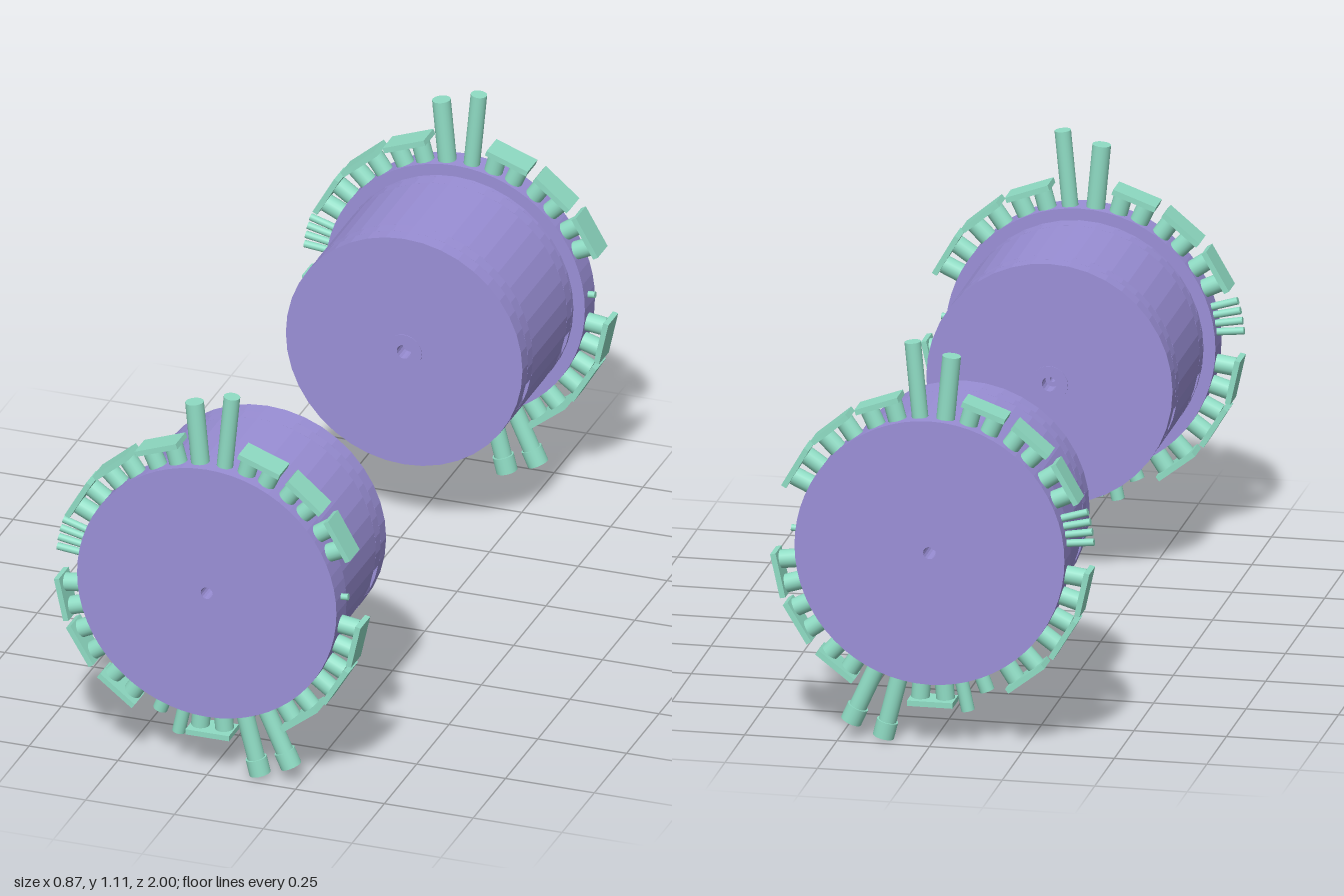
import * as THREE from 'three';

const CENTER_Y = 0.537;
const FLANGE_R = 0.365, DRUM_R = 0.333;
const RING_Z = 0.955; // plane of the fittings around the flange
const purple = new THREE.MeshStandardMaterial({ color: 0x9a8fd6, flatShading: true });
const green = new THREE.MeshStandardMaterial({ color: 0x8fdcc4 });
const rad = THREE.MathUtils.degToRad;

// Points along an arc, angles in degrees
function arc(r, from, to, n) {
  return Array.from({ length: n + 1 }, (_, i) => {
    const a = rad(from + ((to - from) * i) / n);
    return new THREE.Vector2(r * Math.cos(a), r * Math.sin(a));
  });
}

// Slab with a given outline and a centre bore, from z0 to z1
function slab(name, outline, bore, z0, z1) {
  const shape = new THREE.Shape(outline);
  shape.holes.push(new THREE.Path(arc(bore, 360, 0, 16).slice(0, -1)));
  const geo = new THREE.ExtrudeGeometry(shape, { depth: z1 - z0, bevelEnabled: false });
  geo.translate(0, 0, z0);
  const mesh = new THREE.Mesh(geo, purple);
  mesh.name = name;
  return mesh;
}

const circle = (r, n) => arc(r, 0, 360, n).slice(0, -1);

// Drum outline with a flat-floored notch low on both sides
function notchedOutline() {
  const top = -0.062, bottom = -0.137;
  const aTop = THREE.MathUtils.radToDeg(Math.asin(top / DRUM_R));
  const aBot = THREE.MathUtils.radToDeg(Math.asin(bottom / DRUM_R));
  const floor = DRUM_R * Math.cos(rad(aBot));
  return [
    ...arc(DRUM_R, aTop, 180 - aTop, 24),
    new THREE.Vector2(-floor, top),
    ...arc(DRUM_R, 180 - aBot, 360 + aBot, 16),
    new THREE.Vector2(floor, top),
  ];
}

// Frame whose +y points outward at the given angle around the flange
function radial(name, angle) {
  const g = new THREE.Group();
  g.name = name;
  g.position.z = RING_Z;
  g.rotation.z = rad(angle - 90);
  return g;
}

// Radial cylinder from r0 to r1
function stub(name, angle, r0, r1, radius) {
  const g = radial(name, angle);
  const mesh = new THREE.Mesh(new THREE.CylinderGeometry(radius, radius, r1 - r0, 20), green);
  mesh.name = name;
  mesh.position.y = (r0 + r1) / 2;
  g.add(mesh);
  return g;
}

// Two short posts joined by an outer plate
function connector(angle) {
  const g = new THREE.Group();
  g.name = 'connector';
  const holder = radial('connectorPlate', angle);
  const plate = new THREE.Mesh(new THREE.BoxGeometry(0.123, 0.015, 0.076), green);
  plate.name = 'connectorPlate';
  plate.position.set(0, 0.421, 0.004);
  holder.add(plate);
  g.add(holder);
  for (const s of [-1, 1]) g.add(stub('connectorPost', angle + s * 4.7, 0.35, 0.415, 0.025));
  return g;
}

// One drum with flange and fittings; turn = true gives the mirrored rear one
function buildUnit(turn) {
  const unit = new THREE.Group();
  unit.name = turn ? 'rearDrum' : 'frontDrum';
  unit.position.y = CENTER_Y;
  if (turn) unit.rotation.y = Math.PI;
  const at = (a) => (turn ? 180 - a : a);

  // Body: plain and notched slices
  const round = circle(DRUM_R, 40), notched = notchedOutline();
  unit.add(
    slab('hubRing', circle(0.05, 24), 0.02, 0.525, 0.527),
    slab('drumEnd', round, 0.02, 0.527, 0.57),
    slab('drumNotched', notched, 0.008, 0.57, 0.607),
    slab('drumMiddle', round, 0.008, 0.607, 0.873),
    slab('drumNotched', notched, 0.008, 0.873, 0.91),
    slab('drumShoulder', round, 0.008, 0.91, 0.922),
    slab('flange', circle(FLANGE_R, 64), 0.017, 0.922, 1),
  );

  // Paired connectors around the rim
  for (const a of [30, 50, 70, -12.5, -31.5, -52.4]) {
    unit.add(connector(a), connector(180 - a));
  }
  unit.add(connector(-90));

  // Long pipes at the top
  unit.add(stub('topPipe', at(95.4), 0.35, 0.539, 0.025));
  unit.add(stub('topPipe', at(84.5), 0.35, 0.572, 0.022));

  // Capped pipes at the bottom
  for (const [a, end] of [[-75.8, 0.546], [-65.8, 0.54]]) {
    unit.add(stub('bottomPipe', at(a), 0.35, end - 0.04, 0.024));
    unit.add(stub('bottomPipeCap', at(a), end - 0.046, end, 0.029));
  }

  // Short stubs, thin pins and a side peg
  unit.add(stub('shortStub', at(-110.9), 0.35, 0.412, 0.02));
  unit.add(stub('shortStub', at(-102.1), 0.35, 0.453, 0.018));
  for (const a of [163.1, 166.7, 170.4, 174.1]) {
    unit.add(stub('thinPin', at(a), 0.35, 0.438, 0.01));
  }
  unit.add(stub('sidePeg', at(4.9), 0.35, 0.384, 0.009));
  return unit;
}

export function createModel() {
  const model = new THREE.Group();
  model.name = 'drumPair';
  model.add(buildUnit(false), buildUnit(true));
  return model;
}
